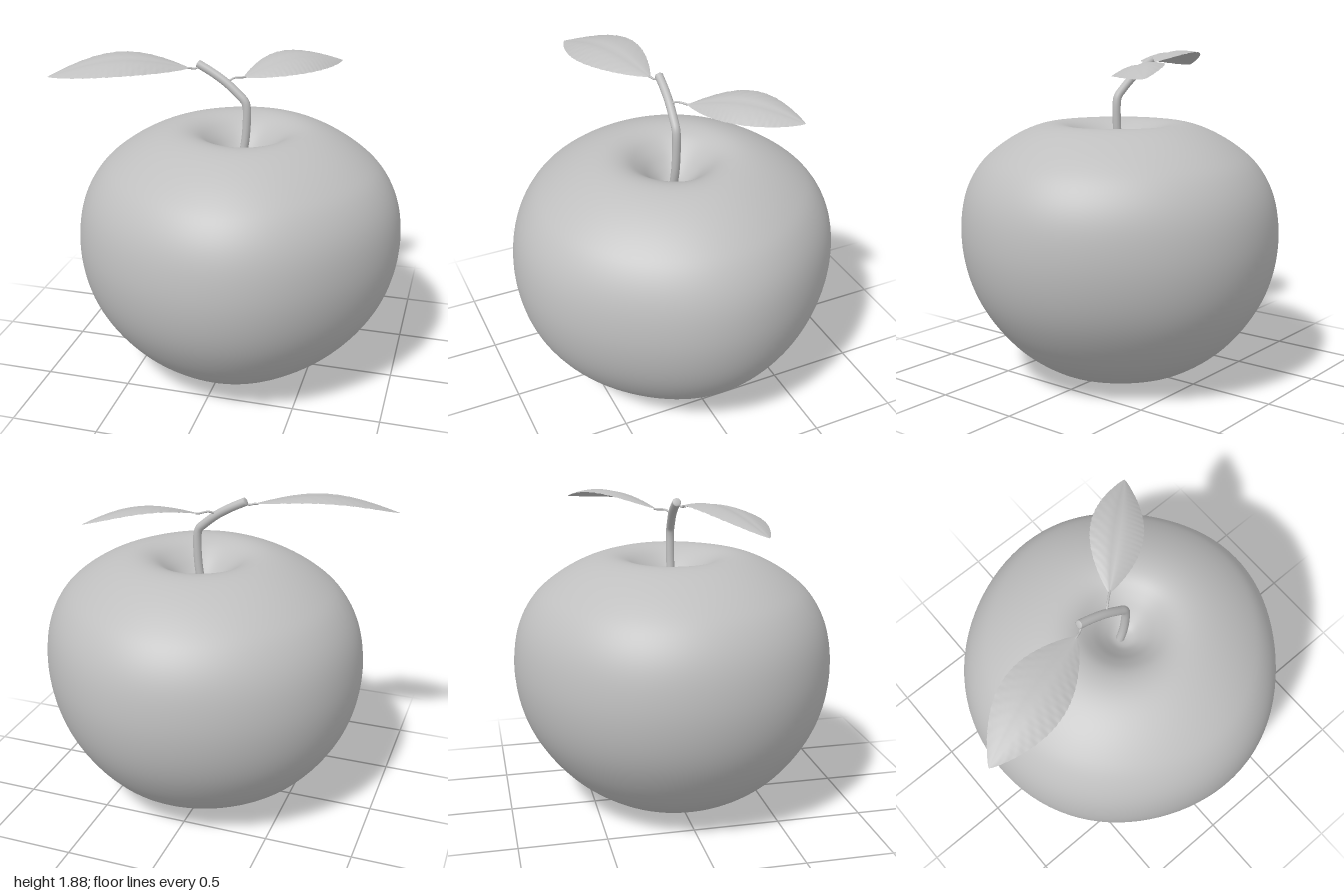
import * as THREE from 'three';
import { mergeVertices } from 'three/addons/utils/BufferGeometryUtils.js';

const clay = new THREE.MeshStandardMaterial({ color: 0xbfbfbf });
clay.name = 'clay grey';
const leafClay = clay.clone();
leafClay.name = 'leaf grey';
leafClay.side = THREE.DoubleSide;

const v = (x, y, z) => new THREE.Vector3(x, y, z);

function part(name, geometry, material = clay) {
  const mesh = new THREE.Mesh(geometry, material);
  mesh.name = name;
  return mesh;
}

// Fruit: a lathed profile with hollows at both ends, pushed slightly out of round
function fruitGeometry() {
  const profile = [
    [0, 0.05], [0.04, 0.05], [0.09, 0.055], [0.16, 0.03], [0.25, 0.003], [0.36, 0.035],
    [0.46, 0.08], [0.57, 0.15], [0.67, 0.235], [0.775, 0.36], [0.86, 0.505], [0.912, 0.66],
    [0.934, 0.83], [0.922, 1.0], [0.88, 1.14], [0.805, 1.26], [0.705, 1.35], [0.585, 1.425],
    [0.465, 1.475], [0.36, 1.492], [0.27, 1.472], [0.19, 1.415], [0.12, 1.345], [0.06, 1.295], [0, 1.28],
  ].map(([r, y]) => new THREE.Vector2(r, y));
  const points = new THREE.SplineCurve(profile).getPoints(100);
  points.forEach((p) => { p.x = Math.max(p.x, 0); });
  points[0].x = points[points.length - 1].x = 0;
  let g = new THREE.LatheGeometry(points, 96);
  const pos = g.attributes.position;
  for (let i = 0; i < pos.count; i++) {
    const x = pos.getX(i), y = pos.getY(i), z = pos.getZ(i);
    const a = Math.atan2(z, x);
    const k = 0.997 + 0.006 * Math.cos(5 * a) + 0.008 * Math.cos(4 * a) - 0.012 * Math.cos(a);
    pos.setXYZ(i, 0.062 + 0.04 * (y / 1.5 - 0.55) + x * k, y, z * k);
  }
  g.deleteAttribute('normal');
  g.deleteAttribute('uv');
  g = mergeVertices(g, 1e-5);
  g.computeVertexNormals();
  return g;
}

// Leaf: a pointed blade with a serrated rim, arched lengthwise, tilted and grooved across
function leafGeometry({ base, tip, halfWidth, arch, tilt, bend }) {
  const rows = 96, cols = 16, positions = [], index = [];
  const dir = v(tip.x - base.x, 0, tip.z - base.z).normalize();
  const side = v(-dir.z, 0, dir.x);
  for (let i = 0; i <= rows; i++) {
    const s = i / rows;
    const shape = Math.pow(Math.max(Math.sin(Math.PI * s), 0), 0.85);
    const tooth = 1 + 0.03 * (((s * 24) % 1) - 0.5);
    for (let j = 0; j <= cols; j++) {
      const t = (j / cols) * 2 - 1;
      const p = base.clone().lerp(tip, s).addScaledVector(side, t * halfWidth * shape * tooth);
      const groove = 0.006 * Math.exp(-Math.pow(t / 0.15, 2));
      const veins = 0.001 * Math.sin((s * 12 - Math.abs(t) * 2) * Math.PI * 2) * Math.abs(t);
      p.y += arch * Math.sin(Math.PI * s) + shape * (tilt * t - bend * t * t - groove + veins);
      positions.push(p.x, p.y, p.z);
      if (i < rows && j < cols) {
        const a = i * (cols + 1) + j, b = a + cols + 1;
        index.push(a, a + 1, b, a + 1, b + 1, b);
      }
    }
  }
  const g = new THREE.BufferGeometry();
  g.setAttribute('position', new THREE.Float32BufferAttribute(positions, 3));
  g.setIndex(index);
  g.computeVertexNormals();
  return g;
}

export function createModel() {
  const model = new THREE.Group();
  model.name = 'fruit with leaves';
  model.add(part('fruitBody', fruitGeometry()));

  // Stem: curving out of the hollow, then kinked sharply towards the right
  const stemPath = new THREE.CatmullRomCurve3([
    v(0.05, 1.26, -0.01), v(0.078, 1.38, -0.01), v(0.09, 1.5, -0.01), v(0.09, 1.61, -0.01),
    v(0.08, 1.645, -0.011), v(0.045, 1.68, -0.015), v(-0.035, 1.745, -0.025),
    v(-0.12, 1.797, -0.032), v(-0.2, 1.838, -0.036),
  ]);
  model.add(part('stem', new THREE.TubeGeometry(stemPath, 64, 0.024, 12)));
  const stemEnd = part('stemEnd', new THREE.SphereGeometry(0.024, 12, 8));
  stemEnd.scale.z = 0.25;
  stemEnd.position.copy(stemPath.getPoint(1));
  stemEnd.lookAt(stemEnd.position.clone().add(stemPath.getTangent(1)));
  model.add(stemEnd);

  // Leaves, each with a thin stalk joining it to the stem
  const leaves = [
    { name: 'rightLeaf', base: v(-0.24, 1.82, 0), tip: v(-1, 1.778, 0.24), halfWidth: 0.172,
      arch: 0.078, tilt: 0.027, bend: 0.03, stalk: [v(-0.18, 1.83, -0.034), v(-0.215, 1.815, -0.012)] },
    { name: 'leftLeaf', base: v(0.05, 1.762, -0.095), tip: v(0.54, 1.782, -0.545), halfWidth: 0.142,
      arch: 0.072, tilt: -0.033, bend: 0.033, stalk: [v(-0.03, 1.745, -0.025), v(0.005, 1.765, -0.055)] },
  ];
  for (const leaf of leaves) {
    const group = new THREE.Group();
    group.name = leaf.name;
    group.add(part('blade', leafGeometry(leaf), leafClay));
    const end = leaf.base.clone().lerp(leaf.tip, 0.03);
    const path = new THREE.CatmullRomCurve3([...leaf.stalk, leaf.base, end]);
    group.add(part('stalk', new THREE.TubeGeometry(path, 16, 0.006, 8)));
    model.add(group);
  }
  return model;
}
